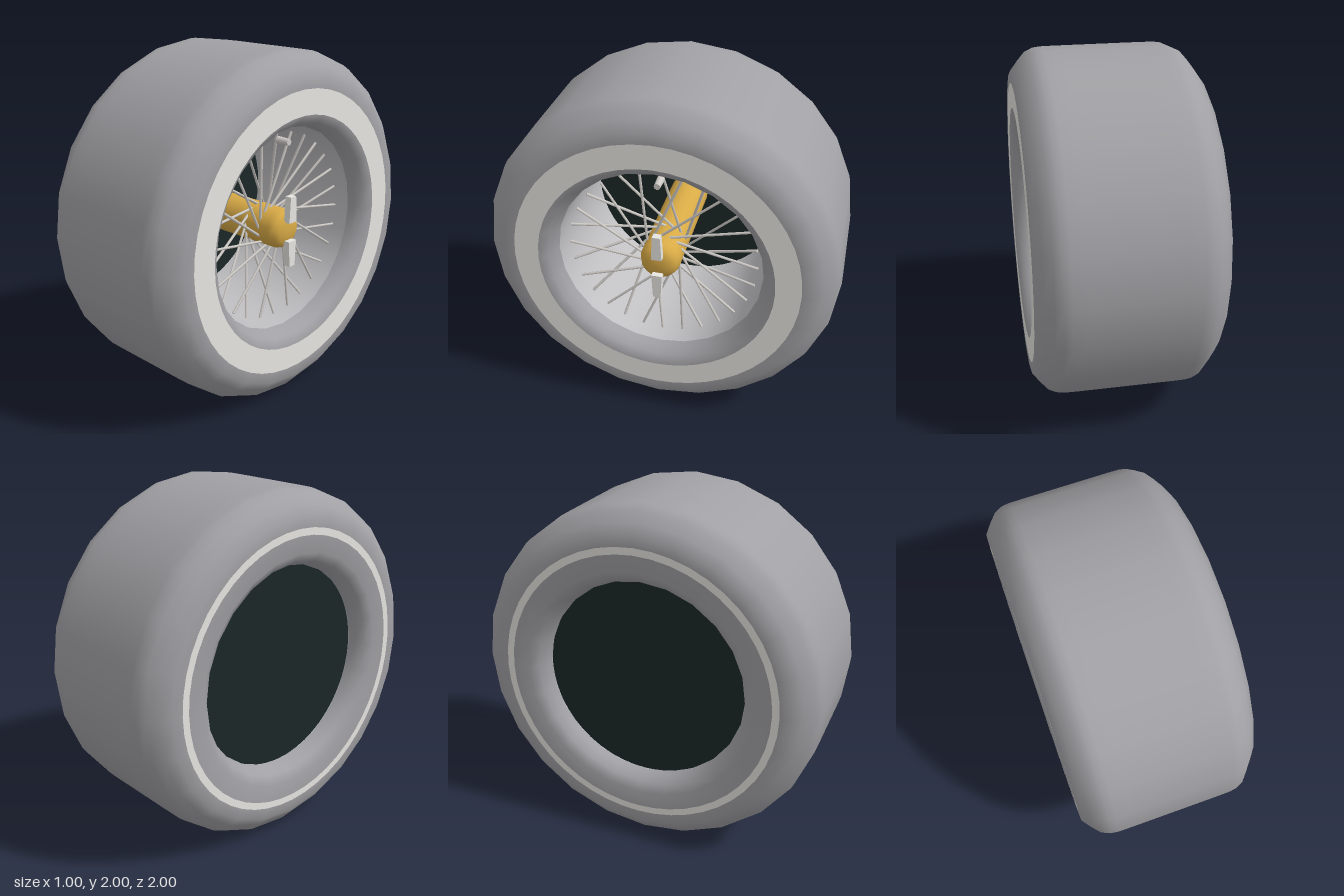
import * as THREE from 'three';

const mat = (name, color, side = THREE.FrontSide) => {
  const m = new THREE.MeshStandardMaterial({ color, side });
  m.name = name;
  return m;
};

export function createModel() {
  const rubber = mat('grey rubber', 0xa1a1a5);
  const white = mat('off-white sidewall', 0xe8e7e2, THREE.DoubleSide);
  const steel = mat('rim steel', 0xc0c0c3, THREE.DoubleSide);
  const dark = mat('dark backing', 0x1b2727);
  const chrome = mat('spoke chrome', 0xd0ccc8);
  const gold = mat('hub gold', 0xd8aa46);

  const model = new THREE.Group();
  model.name = 'wireWheel';
  // The wheel is modelled about the origin and its axle lies along x
  const wheel = new THREE.Group();
  wheel.name = 'wheel';
  wheel.position.y = 1;
  model.add(wheel);

  const add = (name, geometry, material) => {
    const mesh = new THREE.Mesh(geometry, material);
    mesh.name = name;
    wheel.add(mesh);
    return mesh;
  };
  // Lathe around the x axis; points are [x, radius]
  const turned = (points, segments) =>
    new THREE.LatheGeometry(points.map(([x, r]) => new THREE.Vector2(r, x)), segments)
      .rotateZ(-Math.PI / 2);
  // Straight round bar between two points
  const bar = (a, b, radius) => {
    const dir = b.clone().sub(a);
    const g = new THREE.CylinderGeometry(radius, radius, dir.length(), 6);
    g.applyQuaternion(new THREE.Quaternion().setFromUnitVectors(
      new THREE.Vector3(0, 1, 0), dir.clone().normalize()));
    const mid = a.clone().add(b).multiplyScalar(0.5);
    return g.translate(mid.x, mid.y, mid.z);
  };
  const polar = (x, r, angle) =>
    new THREE.Vector3(x, r * Math.cos(angle), r * Math.sin(angle));

  // Tyre with rounded shoulders and lips dipping towards the rim, mirrored in x
  const half = [
    [0.25, 1], [0.33, 0.999], [0.37, 0.993], [0.415, 0.972], [0.46, 0.922], [0.5, 0.87],
    [0.5, 0.80], [0.498, 0.67], [0.465, 0.62], [0.42, 0.595], [0.38, 0.585],
  ];
  const mirrored = half.map(([x, r]) => [-x, r]).reverse();
  add('tyre', turned([...mirrored, ...half], 24), rubber);

  // Pale sidewall bands, wide outside and narrow inside
  add('outerSidewallBand', new THREE.RingGeometry(0.665, 0.805, 48)
    .rotateY(Math.PI / 2).translate(0.501, 0, 0), white);
  add('innerSidewallBand', new THREE.RingGeometry(0.765, 0.805, 48)
    .rotateY(-Math.PI / 2).translate(-0.501, 0, 0), white);

  // Rim barrel closed by a dark disc on the inner side
  add('rimBarrel', turned([[0.38, 0.585], [-0.38, 0.585]], 48), steel);
  add('backingDisc', new THREE.CylinderGeometry(0.585, 0.585, 0.01, 48)
    .rotateZ(Math.PI / 2).translate(-0.37, 0, 0), dark);

  // Hub with a rounded cap
  add('hub', turned([
    [-0.365, 0.115], [0.2, 0.115], [0.35, 0.114], [0.385, 0.1], [0.405, 0.07], [0.41, 0.03], [0.411, 0],
  ], 24), gold);

  // Crossed wire spokes in two alternating sets
  const count = 28;
  for (let i = 0; i < count; i++) {
    const angle = (i / count) * Math.PI * 2;
    const sign = i % 2 ? 1 : -1;
    const inner = polar(i % 2 ? 0.28 : 0.18, 0.105, angle + sign * 0.85);
    add('spoke', bar(inner, polar(0.31, 0.545, angle), 0.008), chrome);
  }

  // Two tapered ears of the wheel nut
  const earShape = new THREE.Shape([
    [-0.03, 0.055], [0.03, 0.055], [0.022, 0.205], [-0.022, 0.205],
  ].map(([z, y]) => new THREE.Vector2(z, y)));
  for (const turn of [0, Math.PI]) {
    const ear = add('nutEar', new THREE.ExtrudeGeometry(earShape, { depth: 0.04, bevelEnabled: false })
      .rotateY(Math.PI / 2).translate(0.4, 0, 0), white);
    ear.rotation.x = turn;
  }

  // Valve stem
  add('valve', new THREE.CylinderGeometry(0.018, 0.022, 0.08, 10)
    .rotateZ(-Math.PI / 2).translate(0.36, 0.505, 0), chrome);

  return model;
}
